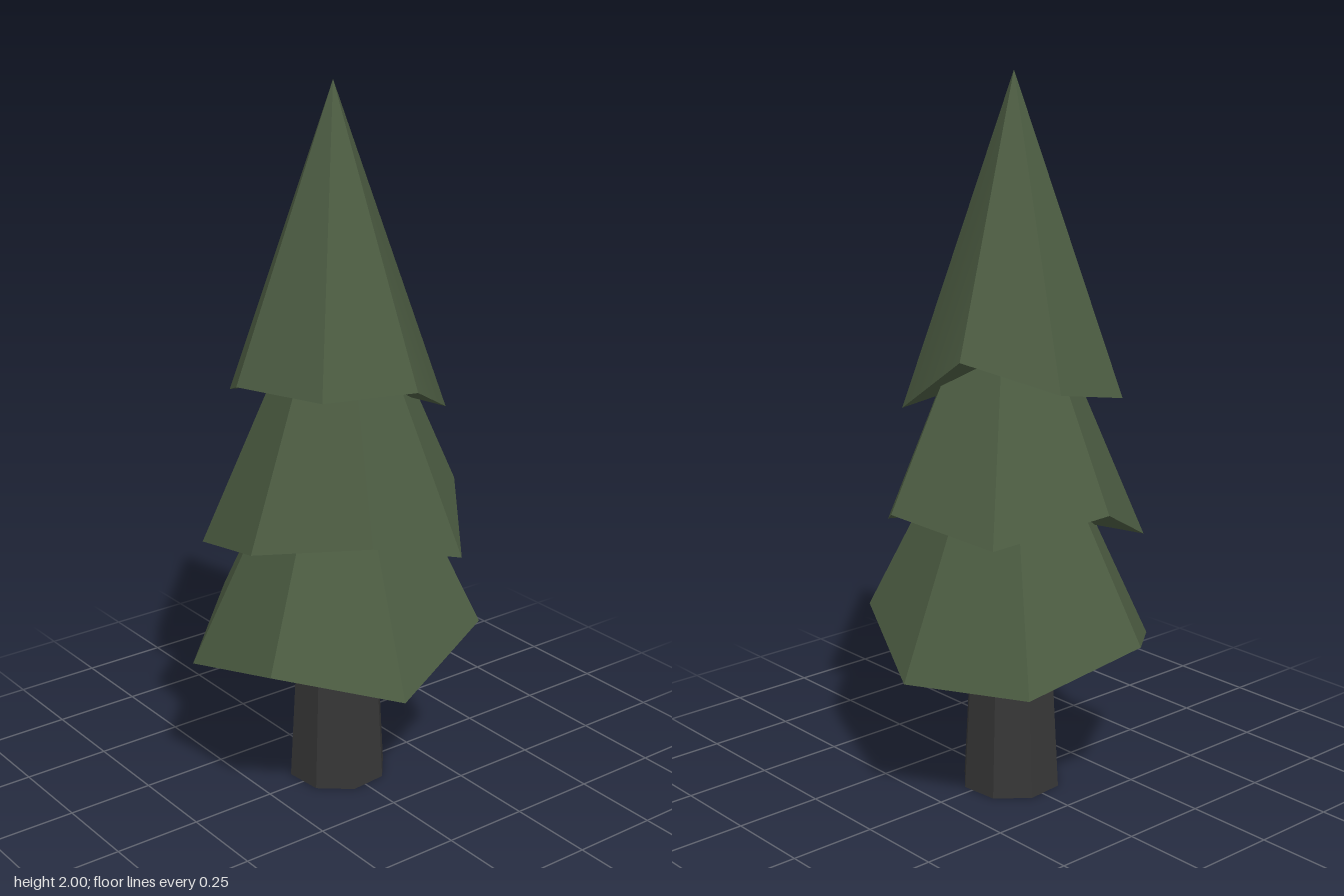
import * as THREE from 'three';
import { toCreasedNormals } from 'three/addons/utils/BufferGeometryUtils.js';

const CREASE = Math.PI / 6;

// Each tier: its tip and an uneven seven-point skirt [x, y, z], clockwise seen from above
const TIERS = [
  {
    name: 'lowerFoliage', tip: [0, 1.3, 0],
    skirt: [[-0.025, 0.4, -0.395], [0.3, 0.51, -0.258], [0.397, 0.4, 0.083], [0.19, 0.48, 0.375],
      [-0.163, 0.39, 0.392], [-0.4, 0.48, 0.125], [-0.337, 0.4, -0.225]],
  },
  {
    name: 'middleFoliage', tip: [0, 1.63, 0],
    skirt: [[0.07, 0.845, -0.355], [0.33, 0.735, -0.163], [0.345, 0.845, 0.155], [0.1, 0.8, 0.37],
      [-0.22, 0.72, 0.313], [-0.37, 0.865, 0.028], [-0.245, 0.8, -0.27]],
  },
  {
    name: 'topFoliage', tip: [0.01, 2, 0.03],
    skirt: [[-0.105, 1.275, -0.26], [0.157, 1.105, -0.243], [0.305, 1.225, -0.022], [0.228, 1.225, 0.23],
      [-0.02, 1.225, 0.325], [-0.248, 1.135, 0.193], [-0.285, 1.19, -0.07]],
  },
];

// Closed cone over an uneven skirt, with a fan underneath
function tierGeometry(tip, skirt) {
  const centre = [0, 1, 2].map((k) => skirt.reduce((sum, p) => sum + p[k], 0) / skirt.length);
  const points = [];
  skirt.forEach((a, i) => {
    const b = skirt[(i + 1) % skirt.length];
    points.push(...tip, ...b, ...a);
    points.push(...centre, ...a, ...b);
  });
  const geometry = new THREE.BufferGeometry();
  geometry.setAttribute('position', new THREE.Float32BufferAttribute(points, 3));
  return toCreasedNormals(geometry, CREASE);
}

export function createModel() {
  const leaves = new THREE.MeshStandardMaterial({ color: 0x4c5c42 });
  leaves.name = 'pine green';
  const bark = new THREE.MeshStandardMaterial({ color: 0x363636 });
  bark.name = 'charcoal bark';

  const tree = new THREE.Group();
  tree.name = 'pineTree';

  // Tapered eight-sided trunk, running up into the lowest tier
  const trunkGeometry = new THREE.CylinderGeometry(0.116, 0.143, 0.5, 8, 1, false, -0.3);
  const trunk = new THREE.Mesh(toCreasedNormals(trunkGeometry, CREASE), bark);
  trunk.name = 'trunk';
  trunk.position.set(-0.013, 0.25, 0);
  tree.add(trunk);

  // Three stacked tiers of foliage
  for (const { name, tip, skirt } of TIERS) {
    const tier = new THREE.Mesh(tierGeometry(tip, skirt), leaves);
    tier.name = name;
    tree.add(tier);
  }
  return tree;
}
